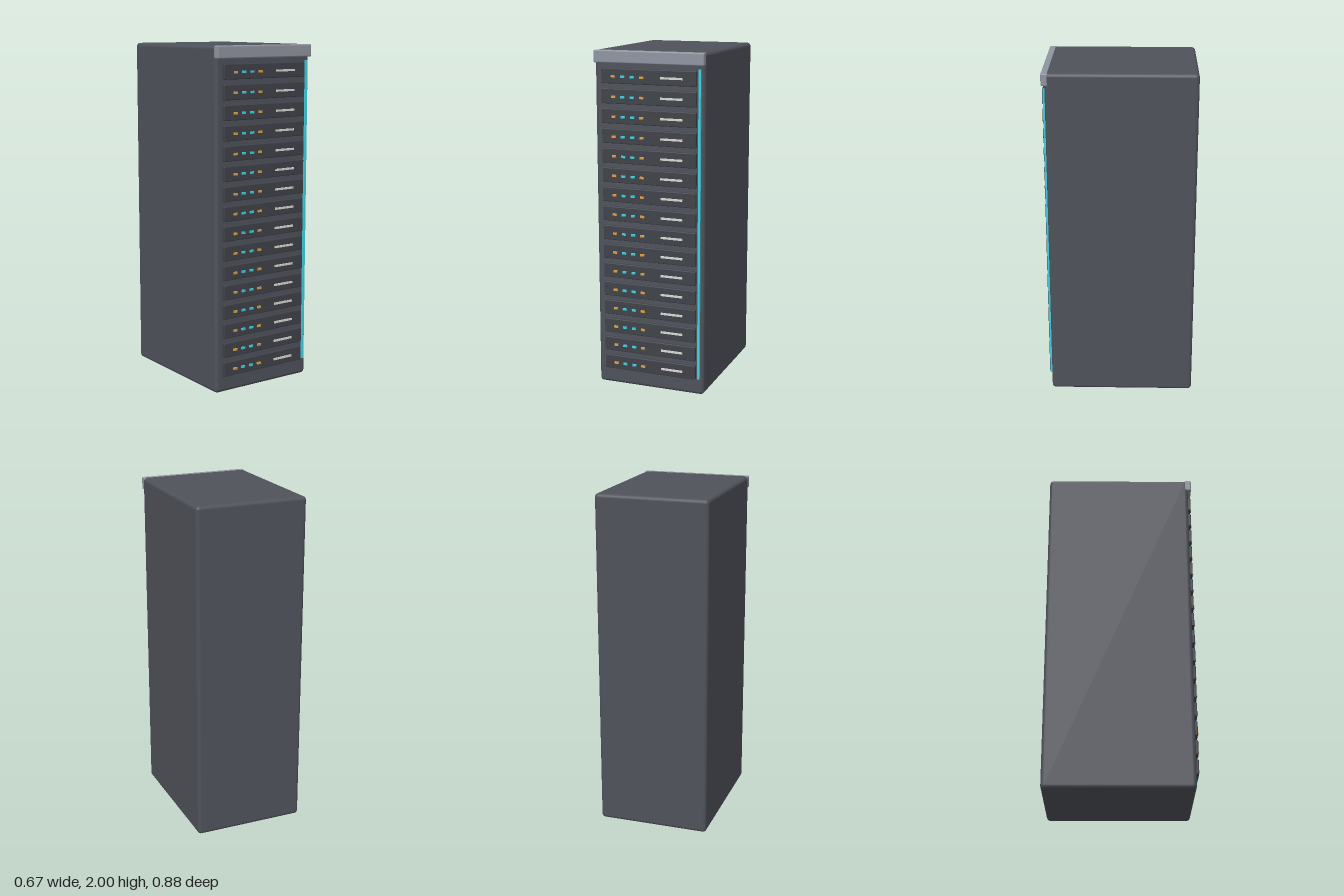
import * as THREE from 'three';
import { RoundedBoxGeometry } from 'three/addons/geometries/RoundedBoxGeometry.js';

const mat = (color) => new THREE.MeshStandardMaterial({ color });

// Box given by its extents along each axis, with optional rounded edges
function block(name, material, [x0, x1], [y0, y1], [z0, z1], radius = 0, segments = 2) {
  const w = x1 - x0, h = y1 - y0, d = z1 - z0;
  const geometry = radius
    ? new RoundedBoxGeometry(w, h, d, segments, radius)
    : new THREE.BoxGeometry(w, h, d);
  const mesh = new THREE.Mesh(geometry, material);
  mesh.name = name;
  mesh.position.set((x0 + x1) / 2, (y0 + y1) / 2, (z0 + z1) / 2);
  return mesh;
}

export function createModel() {
  const model = new THREE.Group();
  model.name = 'serverRack';

  const shell = mat(0x4f525a);
  const trim = mat(0x9094a0);
  const panel = mat(0x3f4249);
  const cyan = mat(0x3fd0e0);
  const amber = mat(0xe0a040);
  const pale = mat(0xd8d8d0);

  // Cabinet and the trim bar across its top front edge
  model.add(block('cabinet', shell, [-0.333, 0.333], [0, 2], [-0.442, 0.417], 0.022, 4));
  model.add(block('topTrim', trim, [-0.333, 0.333], [1.928, 2], [0.396, 0.437], 0.008));

  // Glowing strip down the model's left side of the front
  model.add(block('lightStrip', cyan, [0.298, 0.312], [0.1, 1.908], [0.41, 0.428]));

  // Stack of identical server units
  const count = 16, pitch = 0.1144, firstY = 0.14;
  const lights = [[-0.211, amber], [-0.154, cyan], [-0.096, cyan], [-0.039, amber]];
  for (let i = 0; i < count; i++) {
    const unit = new THREE.Group();
    unit.name = 'serverUnit' + (i + 1);
    unit.position.y = firstY + i * pitch;
    unit.add(block('unitPanel', panel, [-0.287, 0.287], [-0.043, 0.043], [0.405, 0.434], 0.005));
    for (const [x, material] of lights) {
      unit.add(block('statusLight', material, [x - 0.012, x + 0.012], [-0.009, 0.004], [0.43, 0.442]));
    }
    unit.add(block('handle', pale, [0.075, 0.208], [-0.008, 0.004], [0.43, 0.44]));
    model.add(unit);
  }
  return model;
}
